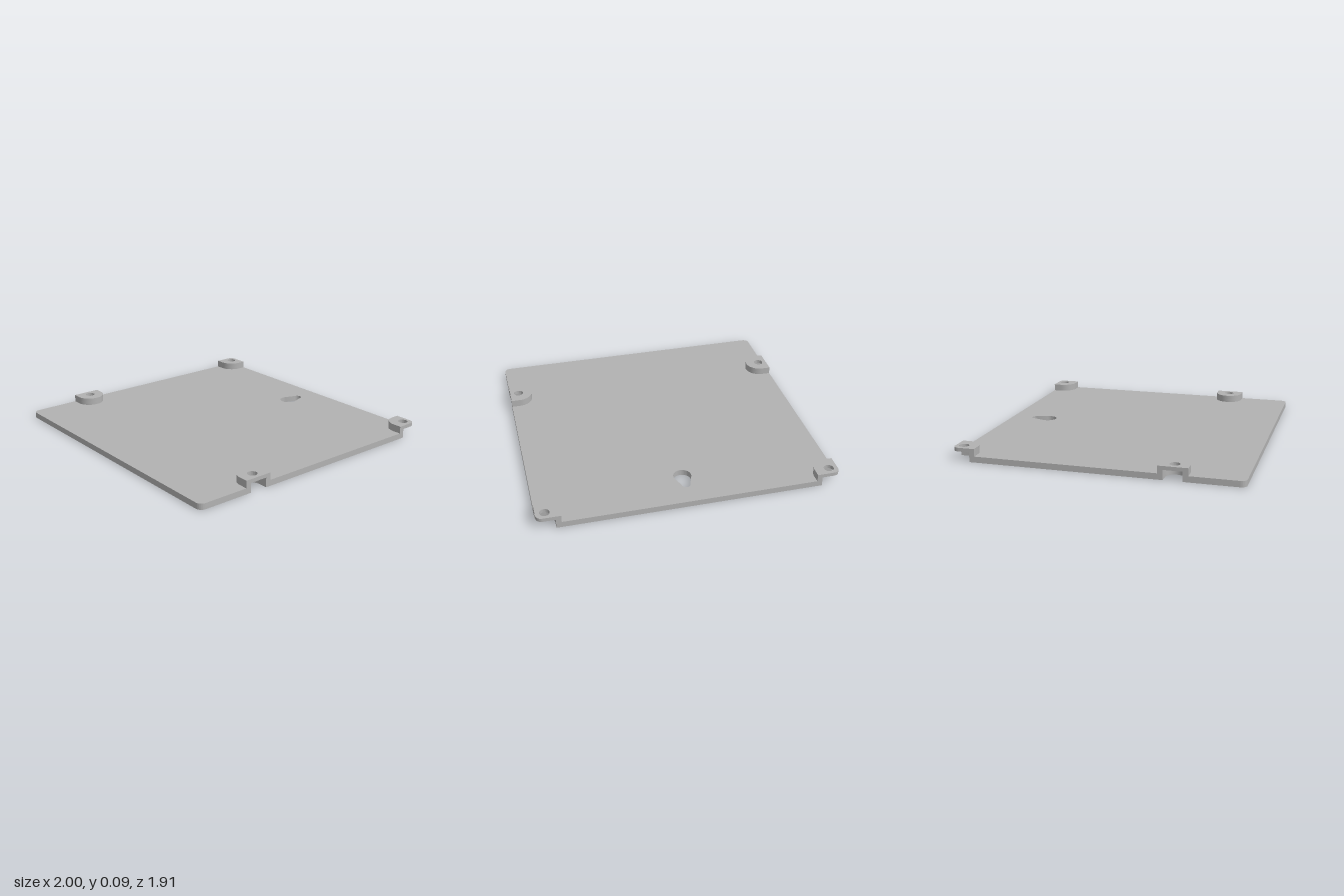
import * as THREE from 'three';
import { toCreasedNormals } from 'three/addons/utils/BufferGeometryUtils.js';

const HALF_DEPTH = 0.955, CORNER = 0.04;
const PLATE_TOP = 0.04, RECESS_TOP = 0.065, BOSS_TOP = 0.09;
const BOSS_X = 0.94, SIDE_V = -0.505, BACK_V = 0.9; // screw centres, v = -z
const OUTER = 0.097, INNER = 0.062, SCREW = 0.033;

// Points along an arc, angles in degrees
function arc(cx, cy, r, from, to) {
  const n = Math.ceil(Math.abs(to - from) / 9);
  return Array.from({ length: n + 1 }, (_, i) => {
    const a = THREE.MathUtils.degToRad(from + ((to - from) * i) / n);
    return new THREE.Vector2(cx + r * Math.cos(a), cy + r * Math.sin(a));
  });
}
const point = (x, y) => new THREE.Vector2(x, y);
const mirror = (pts, s) => pts.map((p) => point(p.x * s, p.y));

// D-shaped curve opening on the side edge
const sideCurve = (r) => [
  point(1, SIDE_V - r), ...arc(BOSS_X, SIDE_V, r, -90, -270), point(1, SIDE_V + r),
];
// Quarter-round curve opening on the side and back edges
const cornerCurve = (r) => [
  point(1, BACK_V - r), ...arc(BOSS_X, BACK_V, r, -90, -180), point(BOSS_X - r, HALF_DEPTH),
];

// Upright slab from a plan outline with holes
function slab(name, outline, holes, bottom, top, material) {
  const shape = new THREE.Shape(outline);
  shape.holes = holes.map((h) => new THREE.Path(h));
  const geometry = new THREE.ExtrudeGeometry(shape, { depth: top - bottom, bevelEnabled: false });
  geometry.rotateX(-Math.PI / 2).translate(0, bottom, 0);
  const mesh = new THREE.Mesh(toCreasedNormals(geometry, 0.6), material);
  mesh.name = name;
  return mesh;
}

export function createModel() {
  const model = new THREE.Group();
  model.name = 'mountingPlate';
  const grey = new THREE.MeshStandardMaterial({ color: 0xb2b2b2 });
  grey.name = 'grey';

  // Base plate, notched beneath each boss, with a keyhole for hanging
  const half = [
    ...arc(1 - CORNER, CORNER - HALF_DEPTH, CORNER, -90, 0),
    ...sideCurve(INNER),
    ...cornerCurve(INNER),
  ];
  const keyhole = [
    ...arc(0, 0.685, 0.06, 150, 390),
    ...arc(0, 0.78, 0.03, 0, 180),
  ];
  model.add(slab('basePlate', [...half, ...mirror(half, -1).reverse()], [keyhole], 0, PLATE_TOP, grey));

  // Hollow screw bosses: a wall around the recess and a drilled cap
  const bosses = [
    { name: 'front', curve: sideCurve, v: SIDE_V, edge: [] },
    { name: 'back', curve: cornerCurve, v: BACK_V, edge: arc(1 - CORNER, HALF_DEPTH - CORNER, CORNER, 90, 0) },
  ];
  for (const [side, s] of [['Left', 1], ['Right', -1]]) {
    for (const { name, curve, v, edge } of bosses) {
      const boss = new THREE.Group();
      boss.name = `${name}${side}Boss`;
      const wall = [...curve(OUTER), ...curve(INNER).reverse()];
      const cap = [...curve(OUTER), ...edge];
      const screwHole = arc(BOSS_X, v, SCREW, 0, 351);
      boss.add(
        slab('bossWall', mirror(wall, s), [], PLATE_TOP, RECESS_TOP, grey),
        slab('bossCap', mirror(cap, s), [mirror(screwHole, s)], RECESS_TOP, BOSS_TOP, grey),
      );
      model.add(boss);
    }
  }
  return model;
}
